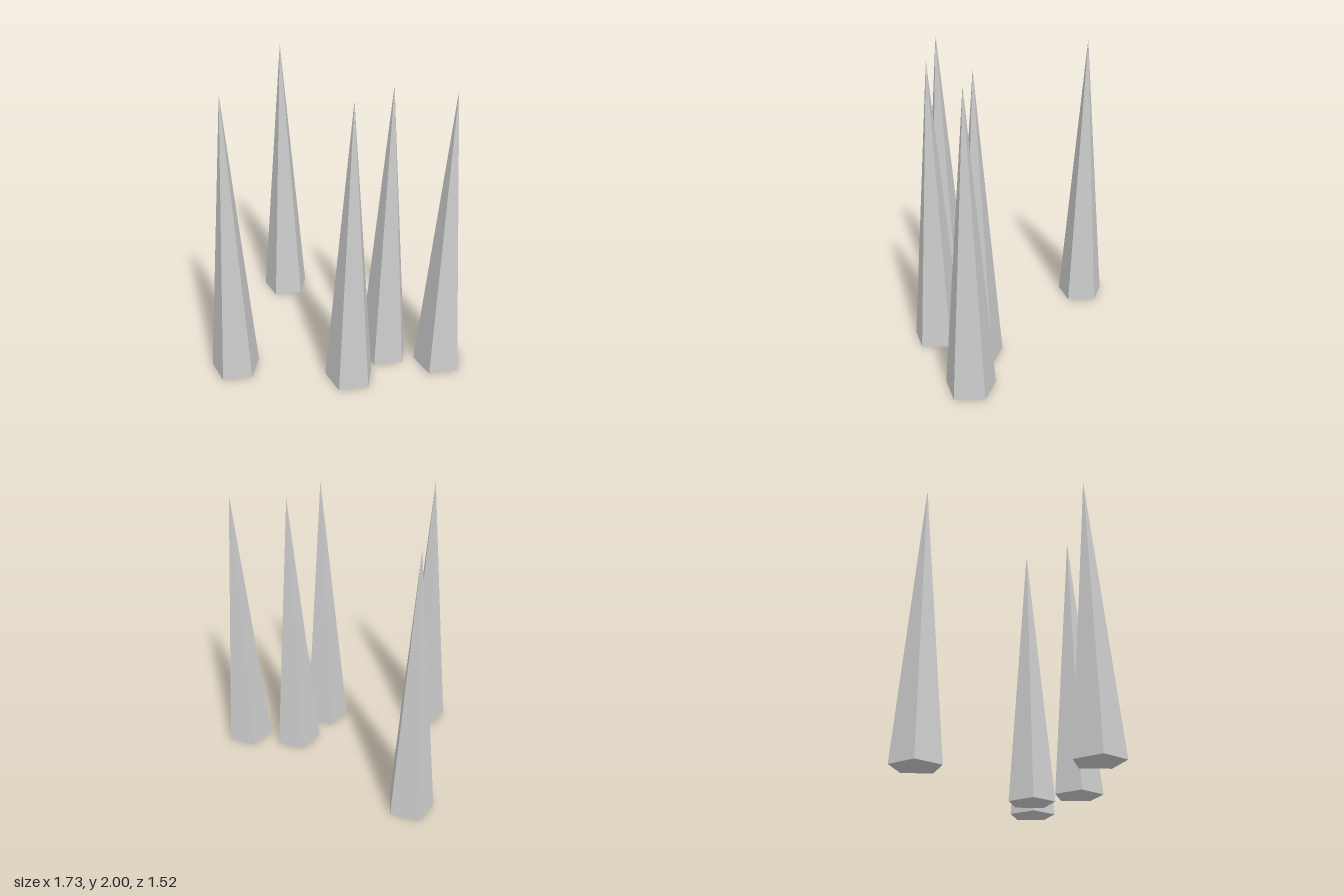
import * as THREE from 'three';

// Ground position [x, z] of each spike
const positions = [
  [-0.707, 0.388],
  [-0.235, -0.592],
  [0.056, 0.622],
  [0.347, 0.4],
  [0.702, 0.554],
];

export function createModel() {
  const group = new THREE.Group();
  group.name = 'spikes';

  const material = new THREE.MeshStandardMaterial({ color: 0xcccccc, flatShading: true });

  // Tall five-sided cone with a closed base, one corner pointing to the back
  const height = 2;
  const geometry = new THREE.ConeGeometry(0.171, height, 5);
  geometry.rotateY(Math.PI);
  geometry.translate(0, height / 2, 0);

  positions.forEach(([x, z], i) => {
    const spike = new THREE.Mesh(geometry, material);
    spike.name = `spike${i + 1}`;
    spike.position.set(x, 0, z);
    group.add(spike);
  });

  return group;
}
